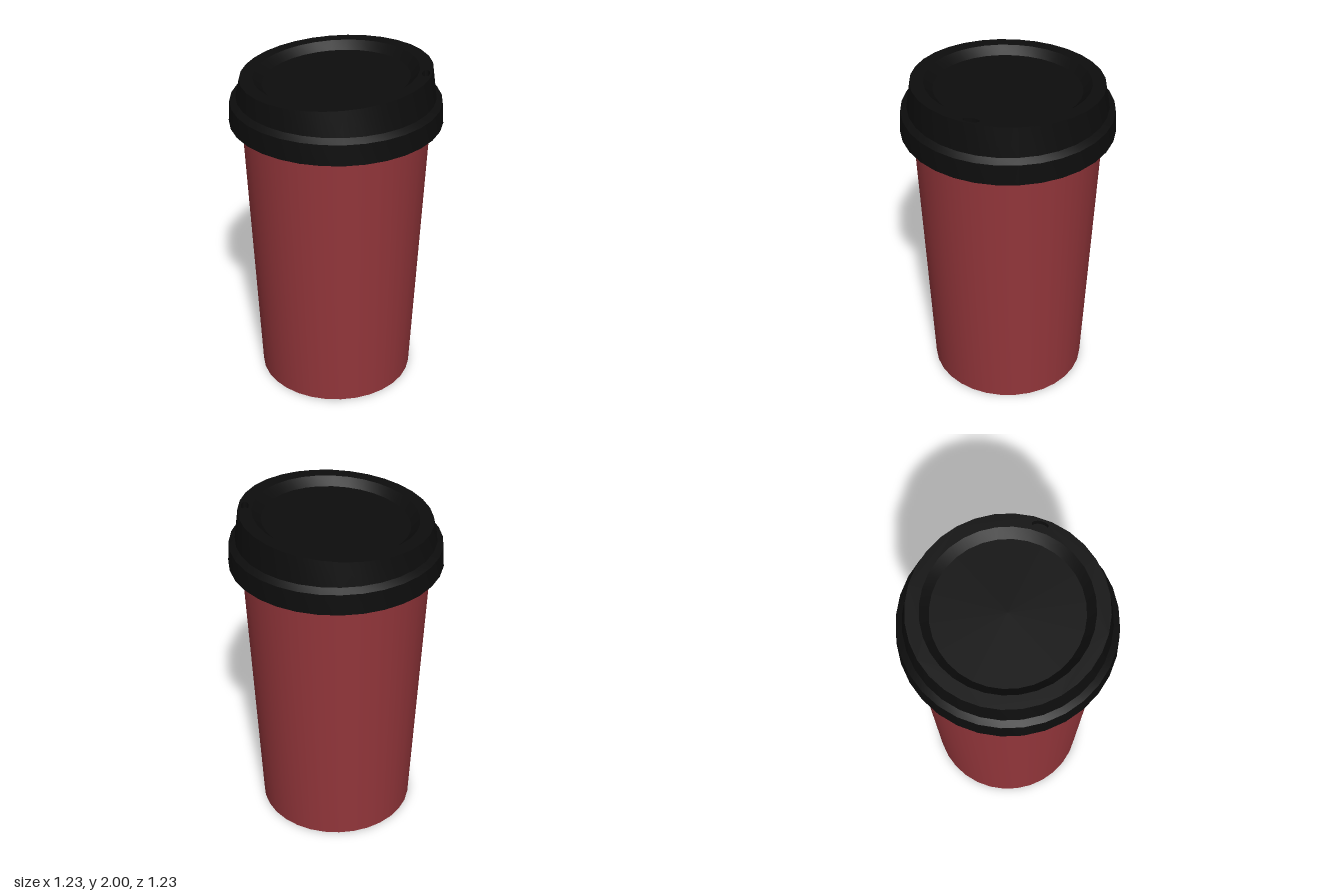
import * as THREE from 'three';
import { toCreasedNormals } from 'three/addons/utils/BufferGeometryUtils.js';

const SIDES = 32, SLOPE = 0.064, RIM_Y = 1.965;

// Tilt everything near the top of the lid so it rises towards +x
function slant(geometry) {
  const p = geometry.attributes.position;
  for (let i = 0; i < p.count; i++) {
    if (p.getY(i) > 1.85) p.setY(i, p.getY(i) + SLOPE * p.getX(i));
  }
  return geometry;
}

// Smooth around the sides, sharp at the profile corners
function finish(geometry) {
  return toCreasedNormals(geometry, 0.35);
}

function turned(profile) {
  return new THREE.LatheGeometry(profile.map(([r, y]) => new THREE.Vector2(r, y)), SIDES);
}

function ovalPoints(cx, cy, rx, ry, n) {
  return Array.from({ length: n }, (_, i) => {
    const a = (i / n) * Math.PI * 2;
    return new THREE.Vector2(cx + rx * Math.cos(a), cy + ry * Math.sin(a));
  });
}

export function createModel() {
  const model = new THREE.Group();
  model.name = 'takeawayCup';
  const red = new THREE.MeshStandardMaterial({ color: 0x94363b });
  const black = new THREE.MeshStandardMaterial({ color: 0x0d0d0d });
  const add = (name, geometry, material, parent = model) => {
    const mesh = new THREE.Mesh(geometry, material);
    mesh.name = name;
    parent.add(mesh);
    return mesh;
  };

  // Tapered cup with a recessed base
  add('cup', finish(turned([[0, 0.03], [0.4, 0.03], [0.44, 0], [0.462, 0], [0.541, 1.7]])), red);

  const lid = new THREE.Group();
  lid.name = 'lid';
  model.add(lid);

  // Underside, flared skirt, shoulder and upper wall
  add('lidSkirt', finish(slant(turned([
    [0.53, 1.68], [0.613, 1.68], [0.605, 1.8], [0.57, 1.825], [0.547, RIM_Y],
  ]))), black, lid);

  // Sunken centre, parallel to the tilted rim
  add('lidRecess', finish(slant(turned([[0.47, RIM_Y], [0.42, 1.92], [0, 1.92]]))), black, lid);

  // Flat rim pierced by the sip hole
  const sip = { x: 0.507, z: 0.047, rx: 0.022, rz: 0.046, depth: 0.035 };
  const rim = new THREE.Shape(ovalPoints(0, 0, 0.547, 0.547, SIDES));
  rim.holes.push(
    new THREE.Path(ovalPoints(0, 0, 0.47, 0.47, SIDES)),
    new THREE.Path(ovalPoints(sip.x, -sip.z, sip.rx, sip.rz, 16)),
  );
  const rimGeometry = new THREE.ShapeGeometry(rim).rotateX(-Math.PI / 2).translate(0, RIM_Y, 0);
  add('lidRim', finish(slant(rimGeometry)), black, lid);

  // Walls and floor of the sip hole
  const inside = black.clone();
  inside.side = THREE.DoubleSide;
  const wall = new THREE.CylinderGeometry(1, 1, sip.depth, 16, 1, true)
    .scale(sip.rx, 1, sip.rz).translate(sip.x, RIM_Y - sip.depth / 2, sip.z);
  add('sipHoleWall', finish(slant(wall)), inside, lid);
  const floor = new THREE.CircleGeometry(1, 16).rotateX(-Math.PI / 2)
    .scale(sip.rx, 1, sip.rz).translate(sip.x, RIM_Y - sip.depth, sip.z);
  add('sipHoleFloor', finish(slant(floor)), black, lid);

  return model;
}
